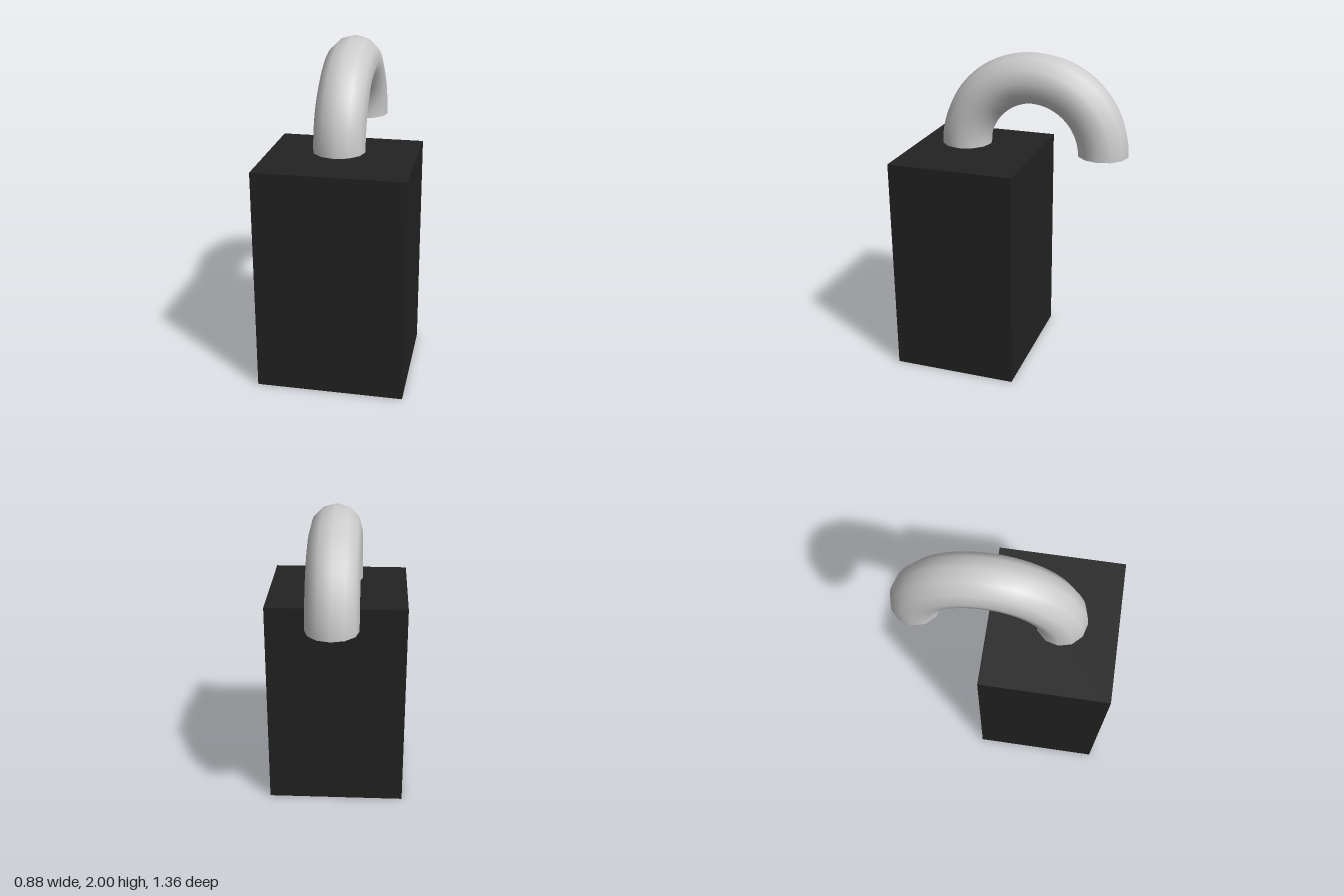
import * as THREE from 'three';

export function createModel() {
  const group = new THREE.Group();
  const dark = new THREE.MeshStandardMaterial({ color: 0x222222 });
  const grey = new THREE.MeshStandardMaterial({ color: 0xcccccc, side: THREE.DoubleSide });

  // Solid block, standing on the ground
  const [width, height, depth] = [0.884, 1.366, 0.776];
  const backZ = -0.093;
  const body = new THREE.Mesh(new THREE.BoxGeometry(width, height, depth), dark);
  body.name = 'body';
  body.position.set(0, height / 2, backZ + depth / 2);
  group.add(body);

  // Open-ended half ring, arching front to back over the block's rear edge
  const ringRadius = 0.433;
  const tubeRadius = 0.155;
  const arch = new THREE.Mesh(
    new THREE.TorusGeometry(ringRadius, tubeRadius, 12, 48, Math.PI), grey);
  arch.name = 'arch';
  arch.rotation.y = Math.PI / 2;
  arch.position.set(0, 2 - ringRadius - tubeRadius, backZ);
  group.add(arch);

  return group;
}
